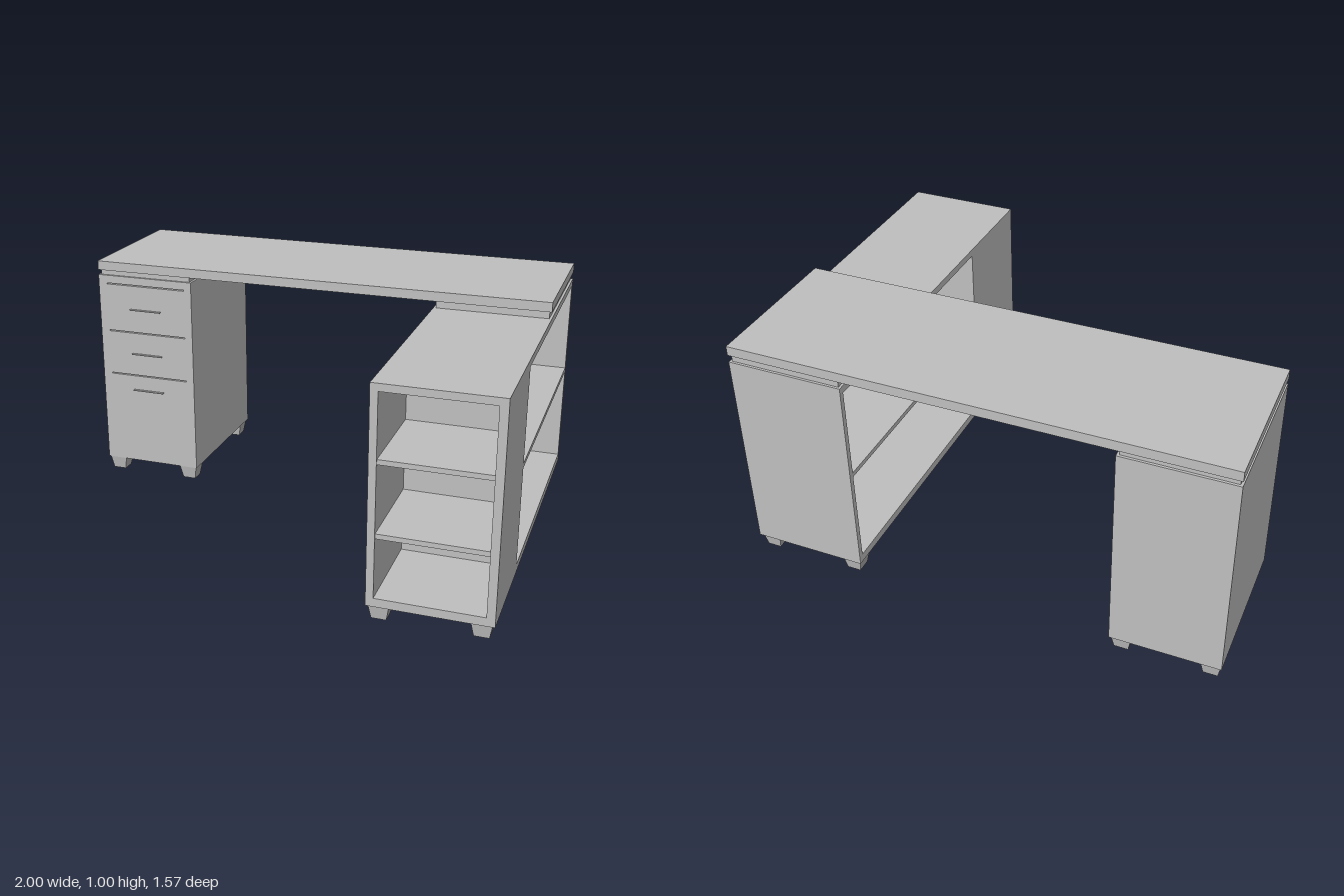
import * as THREE from 'three';

export function createModel() {
  const model = new THREE.Group();
  model.name = 'cornerDesk';
  const grey = new THREE.MeshStandardMaterial({ color: 0xc0c0c0 });
  grey.name = 'grey';

  // Box given by its limits on each axis
  function board(parent, name, [x0, x1], [y0, y1], [z0, z1]) {
    const mesh = new THREE.Mesh(new THREE.BoxGeometry(x1 - x0, y1 - y0, z1 - z0), grey);
    mesh.position.set((x0 + x1) / 2, (y0 + y1) / 2, (z0 + z1) / 2);
    mesh.name = name;
    parent.add(mesh);
  }
  function group(name) {
    const g = new THREE.Group();
    g.name = name;
    model.add(g);
    return g;
  }

  // Square tapered feet
  const footShape = new THREE.CylinderGeometry(0.04 * Math.SQRT2, 0.029 * Math.SQRT2, 0.06, 4)
    .rotateY(Math.PI / 4).toNonIndexed();
  footShape.computeVertexNormals();
  function feet(parent, xs, zs) {
    for (const x of xs) for (const z of zs) {
      const foot = new THREE.Mesh(footShape, grey);
      foot.name = 'foot';
      foot.position.set(x, 0.03, z);
      parent.add(foot);
    }
  }

  const back = -0.785, front = -0.14;

  // Desk top resting on two inset spacers
  board(model, 'deskTop', [-1, 1], [0.96, 1], [back, front]);
  board(model, 'drawerSpacer', [-0.99, -0.565], [0.93, 0.96], [back + 0.01, front - 0.01]);
  board(model, 'shelfSpacer', [0.53, 0.99], [0.93, 0.96], [back + 0.01, front - 0.01]);

  // Drawer cabinet: carcass, three fronts with narrow gaps, thin handles
  const drawers = group('drawerCabinet');
  board(drawers, 'cabinetTop', [-1, -0.555], [0.903, 0.938], [back, front]);
  board(drawers, 'cabinetBottom', [-1, -0.555], [0.06, 0.095], [back, front]);
  board(drawers, 'cabinetBody', [-0.96, -0.59], [0.095, 0.903], [back, front - 0.025]);
  board(drawers, 'rightSide', [-1, -0.96], [0.095, 0.903], [back, front]);
  board(drawers, 'leftSide', [-0.59, -0.555], [0.095, 0.903], [back, front]);
  for (const [y0, y1] of [[0.095, 0.477], [0.482, 0.68], [0.685, 0.898]])
    board(drawers, 'drawerFront', [-0.96, -0.59], [y0, y1], [front - 0.025, front]);
  for (const y of [0.41, 0.583, 0.79])
    board(drawers, 'handle', [-0.85, -0.705], [y - 0.002, y + 0.002], [front, front + 0.012]);
  feet(drawers, [-0.955, -0.6], [-0.735, -0.185]);

  // Long shelf unit: open on both sides, with a cubby facing the front
  const unit = group('shelfUnit');
  const end = 0.785, cubby = 0.36, inner = [0.095, 0.9];
  board(unit, 'unitTop', [0.52, 1], [0.9, 0.93], [back, end]);
  board(unit, 'unitBottom', [0.52, 1], [0.06, 0.095], [back, end]);
  board(unit, 'backPanel', [0.52, 1], inner, [back, back + 0.022]);
  board(unit, 'longShelf', [0.52, 1], [0.5, 0.52], [back + 0.022, cubby]);
  board(unit, 'cubbyRightSide', [0.52, 0.55], inner, [cubby, end]);
  board(unit, 'cubbyLeftSide', [0.967, 1], inner, [cubby, end]);
  board(unit, 'cubbyBack', [0.55, 0.967], inner, [cubby, cubby + 0.022]);
  for (const y of [0.335, 0.625])
    board(unit, 'cubbyShelf', [0.55, 0.967], [y, y + 0.02], [cubby + 0.022, end - 0.005]);
  feet(unit, [0.567, 0.95], [-0.735, 0.735]);

  return model;
}
